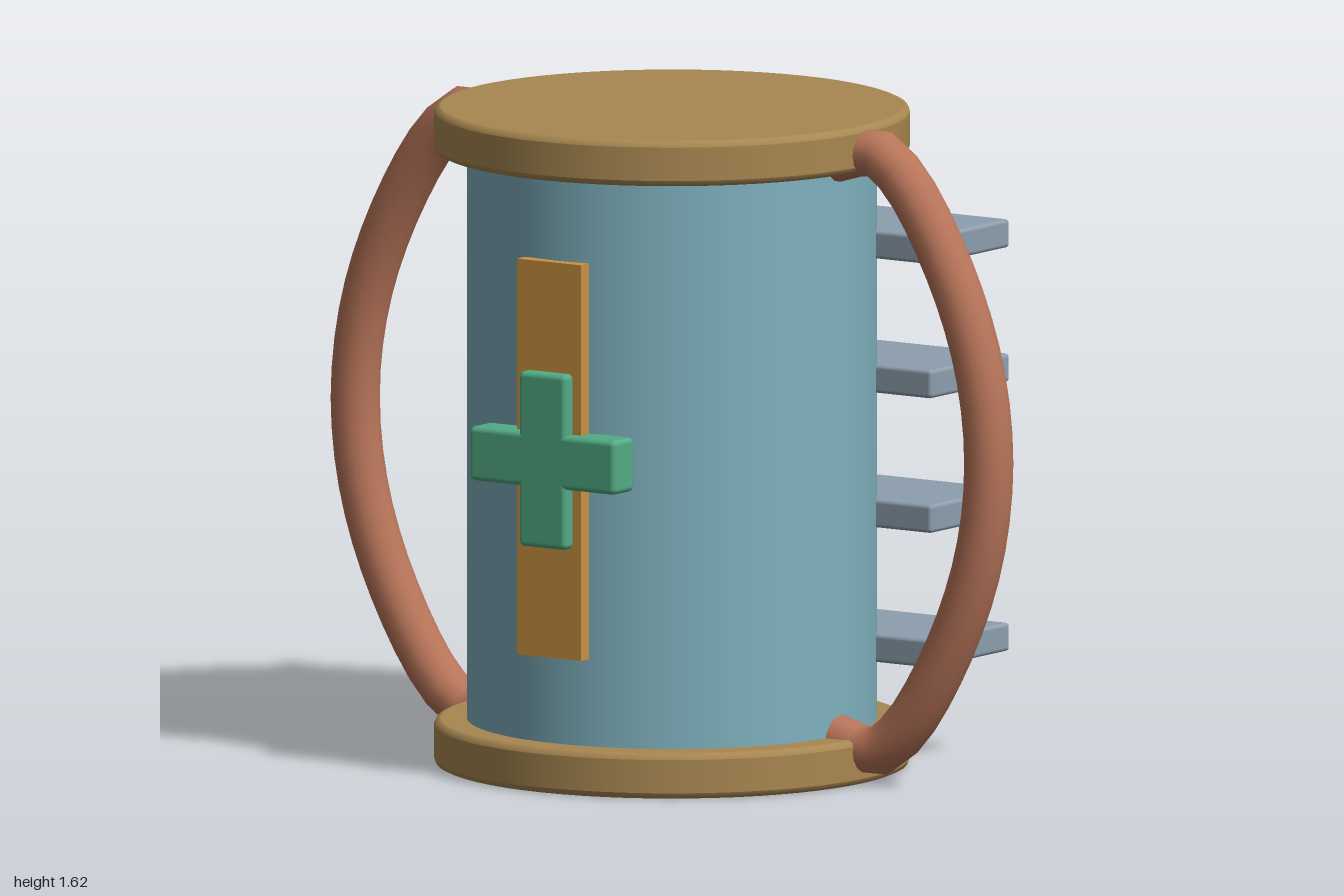
import * as THREE from 'three';
import { RoundedBoxGeometry } from 'three/addons/geometries/RoundedBoxGeometry.js';

const material = (name, color) => {
  const m = new THREE.MeshStandardMaterial({ color });
  m.name = name;
  return m;
};

export function createModel() {
  const teal = material('teal', 0x7fb1be);
  const tan = material('tan', 0xa88751);
  const copper = material('copper', 0xb8755a);
  const steel = material('steel grey', 0x8d9eae);
  const amber = material('amber', 0xcb9240);
  const green = material('green', 0x52ab84);

  const model = new THREE.Group();
  const add = (name, geometry, mat, x = 0, y = 0, z = 0) => {
    const mesh = new THREE.Mesh(geometry, mat);
    mesh.name = name;
    mesh.position.set(x, y, z);
    model.add(mesh);
    return mesh;
  };
  const block = (w, h, d, r) => new RoundedBoxGeometry(w, h, d, 2, r);

  // Drum
  add('body', new THREE.CylinderGeometry(0.5, 0.5, 1.42, 64, 1, true), teal, 0, 0.81, 0);

  // End discs with a softened rim
  const R = 0.58, H = 0.112, b = 0.015;
  const profile = [
    [0, 0], [R - b, 0], [R - b, 0], [R - b * 0.3, b * 0.3], [R, b],
    [R, b], [R, H - b], [R, H - b], [R - b * 0.3, H - b * 0.3], [R - b, H], [R - b, H], [0, H],
  ].map(([x, y]) => new THREE.Vector2(x, y));
  const disc = new THREE.LatheGeometry(profile, 64);
  add('bottomDisc', disc, tan);
  add('topDisc', disc, tan, 0, 1.622 - H, 0);

  // Bowed side handles, with short stubs running into the drum
  for (const side of [1, -1]) {
    const half = [[0.48, 0.105], [0.6, 0.08], [0.69, 0.145], [0.825, 0.36], [0.91, 0.59]];
    const points = [...half, [0.938, 0.82], ...half.map(([x, y]) => [x, 1.64 - y]).reverse()]
      .map(([x, y]) => new THREE.Vector3(side * x, y, 0));
    const path = new THREE.CatmullRomCurve3(points, false, 'centripetal');
    add(side > 0 ? 'leftHandle' : 'rightHandle',
      new THREE.TubeGeometry(path, 28, 0.061, 16), copper);
  }

  // Rear fins
  const fin = block(1.2, 0.07, 0.34, 0.01);
  [0.29, 0.622, 0.954, 1.285].forEach((y, i) => add(`rearFin${i + 1}`, fin, steel, 0, y, -0.412));

  // Front strip and cross
  add('frontStrip', new THREE.BoxGeometry(0.19, 0.976, 0.034), amber, 0, 0.815, 0.511);
  add('crossUpright', block(0.14, 0.432, 0.09, 0.014), green, 0, 0.816, 0.515);
  add('crossBar', block(0.432, 0.134, 0.09, 0.014), green, 0, 0.816, 0.515);

  return model;
}
